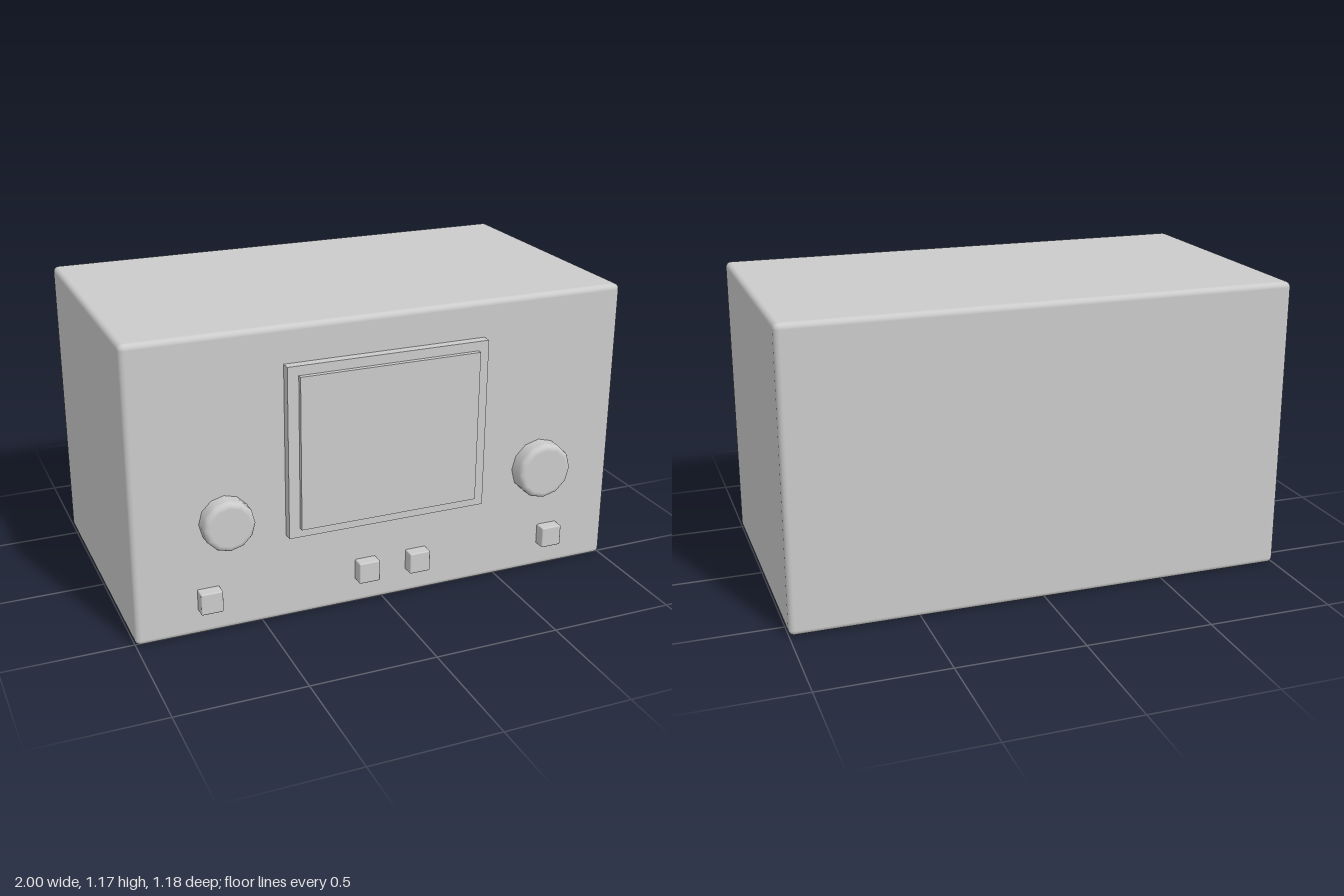
import * as THREE from 'three';
import { RoundedBoxGeometry } from 'three/addons/geometries/RoundedBoxGeometry.js';

const FRONT = 0.52; // z of the case's front face

export function createModel() {
  const group = new THREE.Group();
  const material = new THREE.MeshStandardMaterial({ color: 0xcccccc });

  const add = (name, geometry, x, y, z) => {
    const mesh = new THREE.Mesh(geometry, material);
    mesh.name = name;
    mesh.position.set(x, y, z);
    group.add(mesh);
  };

  // Block set slightly into the front face and standing proud of it
  const addPanel = (name, x, y, w, h, proud, bevel = 0) => {
    const depth = proud + 0.02;
    const geometry = bevel
      ? new RoundedBoxGeometry(w, h, depth, 2, bevel)
      : new THREE.BoxGeometry(w, h, depth);
    add(name, geometry, x, y, FRONT + proud - depth / 2);
  };

  // Twelve-sided knob with a rounded front rim
  const addKnob = (name, x, y, r) => {
    const h = 0.07, b = 0.02;
    const profile = [new THREE.Vector2(r, -0.02), new THREE.Vector2(r, h - b - 0.002)];
    for (let i = 0; i <= 4; i++) {
      const a = (i / 4) * Math.PI / 2;
      profile.push(new THREE.Vector2(r - b + b * Math.cos(a), h - b + b * Math.sin(a)));
    }
    profile.push(new THREE.Vector2(r - b - 0.003, h), new THREE.Vector2(0, h));
    add(name, new THREE.LatheGeometry(profile, 12).rotateX(Math.PI / 2), x, y, FRONT);
  };

  // Case with softly rounded edges
  add('case', new RoundedBoxGeometry(2, 1.175, 1.11, 3, 0.022), 0, 0.5915, -0.035);

  // Display
  addPanel('screenFrame', 0, 0.695, 0.81, 0.68, 0.038);
  addPanel('screen', 0, 0.695, 0.724, 0.606, 0.057);

  // Controls
  addKnob('rightKnob', -0.643, 0.46, 0.1);
  addKnob('leftKnob', 0.67, 0.46, 0.115);
  for (const x of [-0.715, -0.078, 0.137, 0.73]) addPanel('button', x, 0.152, 0.086, 0.086, 0.047, 0.005);

  return group;
}
